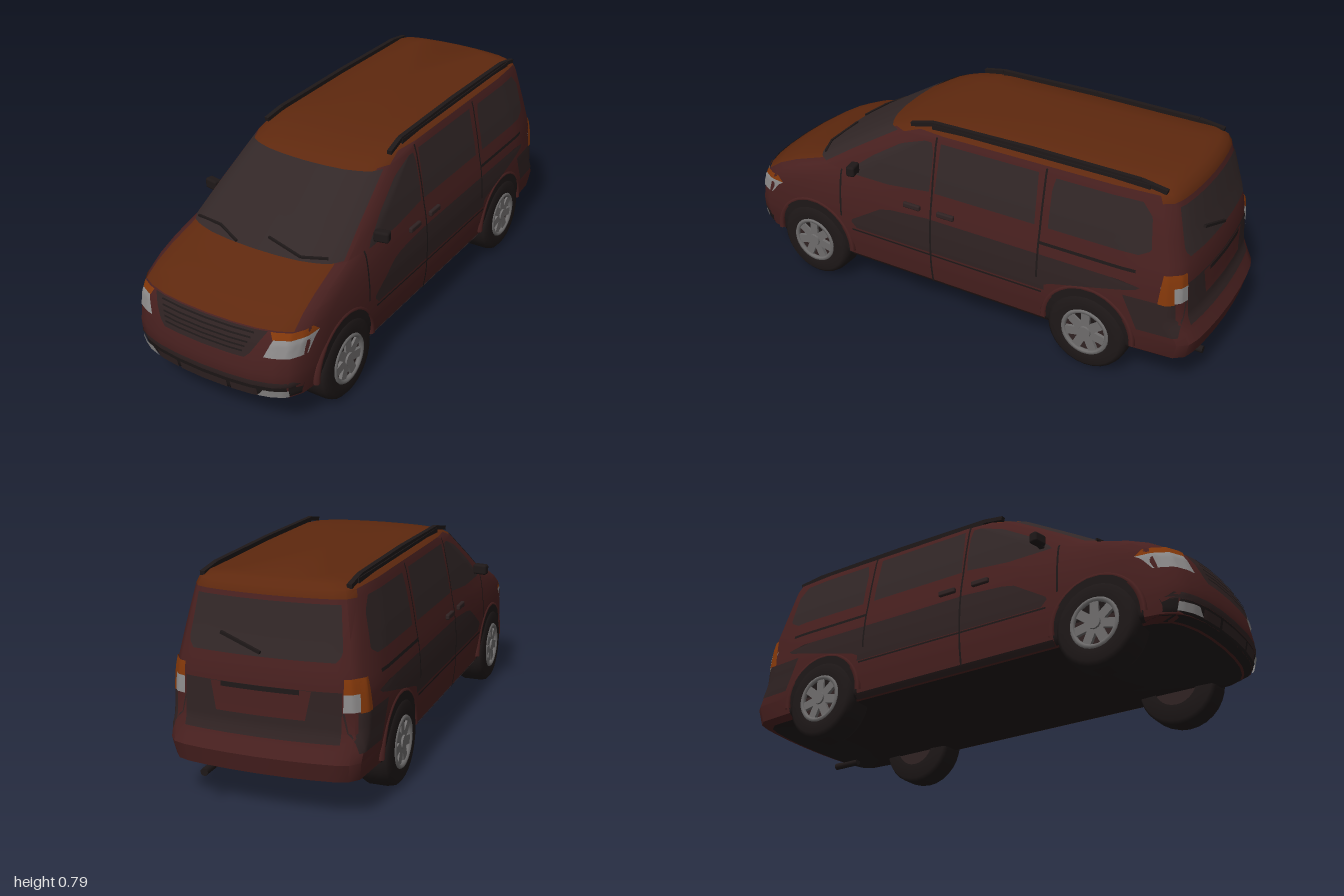
import * as THREE from 'three';
import { toCreasedNormals } from 'three/addons/utils/BufferGeometryUtils.js';
import { RoundedBoxGeometry } from 'three/addons/geometries/RoundedBoxGeometry.js';

const mat = (name, color) => {
  const m = new THREE.MeshStandardMaterial({ color, side: THREE.DoubleSide });
  m.name = name;
  return m;
};
const M = {
  maroon: mat('maroon paint', 0x48201f), rust: mat('rust paint', 0x5e280e),
  charcoal: mat('charcoal trim', 0x2f2222), glass: mat('dark glass', 0x322727),
  black: mat('black trim', 0x1e1818), lamp: mat('lamp grey', 0x8e8c8c),
  amber: mat('amber lamp', 0x84380a), metal: mat('wheel metal', 0x6e6c6c),
};

// Body layers: height, front z, rear z, half width
const L = [
  [0.125, 0.95, -0.94, 0.33], [0.145, 0.985, -0.985, 0.35], [0.21, 1.0, -1.0, 0.36],
  [0.25, 1.0, -0.98, 0.363], [0.30, 0.99, -0.957, 0.364], [0.36, 0.975, -0.952, 0.364],
  [0.40, 0.955, -0.95, 0.361], [0.44, 0.895, -0.948, 0.357], [0.475, 0.815, -0.945, 0.352],
  [0.515, 0.69, -0.938, 0.344], [0.60, 0.555, -0.915, 0.33], [0.73, 0.345, -0.885, 0.303],
  [0.755, 0.275, -0.873, 0.294], [0.772, 0.18, -0.85, 0.268], [0.782, 0.05, -0.82, 0.17],
];
// Rounded plan: share of half width against setback from each end
const T = [0, 0.3, 0.55, 0.75, 0.88, 0.96, 1];
const DF = [0, 0.004, 0.015, 0.035, 0.06, 0.11, 0.22];
const DR = [0, 0.003, 0.01, 0.02, 0.035, 0.07, 0.24];

function lerpTable(xs, ys, x) {
  if (x <= xs[0]) return ys[0];
  for (let i = 1; i < xs.length; i++) {
    if (x <= xs[i]) return ys[i - 1] + (ys[i] - ys[i - 1]) * (x - xs[i - 1]) / (xs[i] - xs[i - 1]);
  }
  return ys[ys.length - 1];
}
const layer = (y, k) => lerpTable(L.map((l) => l[0]), L.map((l) => l[k]), y);
const frontZ = (x, y) => layer(y, 1) - lerpTable(T, DF, Math.abs(x) / layer(y, 3));
const rearZ = (x, y) => layer(y, 2) + lerpTable(T, DR, Math.abs(x) / layer(y, 3));
const sideX = (z, y) => layer(y, 3) * Math.min(
  lerpTable(DF, T, layer(y, 1) - z), lerpTable(DR, T, z - layer(y, 2)));

// Surface maps for thin plates lying just off the body
const OFF = 0.005;
const onFront = (o = OFF) => ({ f: (x, y) => [x, y, frontZ(x, y) + o], flip: false });
const onRear = (o = OFF) => ({ f: (x, y) => [x, y, rearZ(x, y) - o], flip: true });
const onSide = (s, o = OFF) => ({ f: (z, y) => [s * (sideX(z, y) + o), y, z], flip: s > 0 });

// Plate from rows [y, start, end], following a surface map
function plate(rows, map, nu = 12, nv = 10) {
  const ys = rows.map((r) => r[0]), pos = [], idx = [];
  for (let j = 0; j <= nv; j++) {
    const y = ys[0] + (ys[ys.length - 1] - ys[0]) * j / nv;
    const a = lerpTable(ys, rows.map((r) => r[1]), y), b = lerpTable(ys, rows.map((r) => r[2]), y);
    for (let i = 0; i <= nu; i++) pos.push(...map.f(a + (b - a) * i / nu, y));
  }
  for (let j = 0; j < nv; j++) for (let i = 0; i < nu; i++) {
    const a = j * (nu + 1) + i, b = a + 1, c = b + nu + 1, d = a + nu + 1;
    idx.push(...(map.flip ? [a, c, b, a, d, c] : [a, b, c, a, c, d]));
  }
  const g = new THREE.BufferGeometry();
  g.setAttribute('position', new THREE.Float32BufferAttribute(pos, 3));
  g.setIndex(idx);
  g.computeVertexNormals();
  return g;
}

// Box bar between two points
function bar(p, q, w, h) {
  const a = new THREE.Vector3(...p), b = new THREE.Vector3(...q);
  const g = new THREE.BoxGeometry(w, h, a.distanceTo(b));
  const o = new THREE.Object3D();
  o.position.copy(a).lerp(b, 0.5);
  o.lookAt(b);
  o.updateMatrix();
  return g.applyMatrix4(o.matrix);
}

// Closed body shell, lofted upward through the layers
function bodyShell() {
  const half = (l) => {
    const f = T.map((t, i) => [t * l[3], l[1] - DF[i]]), r = T.map((t, i) => [t * l[3], l[2] + DR[i]]);
    const mid = [0.25, 0.5, 0.75].map((k) => [l[3], (l[1] - 0.22) * (1 - k) + (l[2] + 0.24) * k]);
    return [...f, ...mid, ...r.reverse()];
  };
  const pos = [], sets = [[], [], []];
  let n = 0;
  for (const l of L) {
    const h = half(l), ring = [...h, ...h.slice(1, -1).reverse().map(([x, z]) => [-x, z])];
    n = ring.length;
    ring.forEach(([x, z]) => pos.push(x, l[0], z));
  }
  const last = (L.length - 1) * n, c0 = L.length * n;
  pos.push(0, 0.125, 0, 0, 0.787, -0.35);
  for (let i = 0; i < n; i++) {
    const k = (i + 1) % n, e = Math.min(i, n - 1 - i);
    for (let j = 0; j < L.length - 1; j++) {
      const y = L[j][0], rust = y > 0.75 || (y > 0.72 && (e < 5 || e > 10)) || (y > 0.39 && e < 4);
      const a = j * n + i, b = j * n + k;
      sets[rust ? 1 : 0].push(a, b, b + n, a, b + n, a + n);
    }
    sets[1].push(c0 + 1, last + i, last + k);
    sets[2].push(c0, k, i);
  }
  const g = new THREE.BufferGeometry();
  g.setAttribute('position', new THREE.Float32BufferAttribute(pos, 3));
  g.setIndex(sets.flat());
  let start = 0;
  sets.forEach((s, i) => { g.addGroup(start, s.length, i); start += s.length; });
  return toCreasedNormals(g, 0.6);
}

function wheel(add) {
  const prof = [[0.09, 0.06], [0.1, 0.066], [0.14, 0.064], [0.155, 0.052], [0.16, 0.03],
    [0.16, -0.035], [0.15, -0.055], [0.09, -0.06]];
  const lathe = new THREE.LatheGeometry(prof.reverse().map((p) => new THREE.Vector2(...p)), 28);
  add('tyre', lathe.rotateZ(-Math.PI / 2), M.black);
  add('wheelDish', new THREE.CylinderGeometry(0.095, 0.095, 0.1, 24).rotateZ(Math.PI / 2), M.charcoal);
  add('rimRing', new THREE.TorusGeometry(0.088, 0.01, 6, 28).rotateY(Math.PI / 2).translate(0.06, 0, 0), M.metal);
  add('hub', new THREE.CylinderGeometry(0.024, 0.028, 0.03, 14).rotateZ(-Math.PI / 2).translate(0.055, 0, 0), M.metal);
  for (let i = 0; i < 7; i++) {
    add('spoke', new THREE.BoxGeometry(0.016, 0.075, 0.034).translate(0.055, 0.05, 0).rotateX(i * Math.PI * 2 / 7), M.metal);
  }
}

export function createModel() {
  const root = new THREE.Group();
  root.name = 'van';
  const adder = (group) => (name, geo, material) => {
    const m = new THREE.Mesh(geo, material);
    m.name = name;
    group.add(m);
    return m;
  };
  const add = adder(root);
  add('bodyShell', bodyShell(), [M.maroon, M.rust, M.black]);

  // Windscreen and wipers
  add('windscreen', plate([[0.52, -0.322, 0.322], [0.725, -0.283, 0.283]], onFront(0.008), 24, 16), M.glass);
  const fp = (x, y) => [x, y, frontZ(x, y) + 0.014];
  [[-0.29, 0.533, -0.17, 0.543], [-0.17, 0.543, -0.07, 0.525], [0.04, 0.553, 0.19, 0.53], [0.19, 0.53, 0.28, 0.533]]
    .forEach(([a, b, c, d]) => add('wiper', bar(fp(a, b), fp(c, d), 0.008, 0.008), M.black));

  // Grille and lower bumper
  add('grille', plate([[0.298, -0.17, 0.17], [0.315, -0.19, 0.19], [0.398, -0.24, 0.24]], onFront(), 20), M.charcoal);
  for (let i = 0; i < 5; i++) {
    const y = 0.318 + i * 0.017, w = 0.165 + i * 0.008;
    add('grilleSlat', plate([[y, -w, w], [y + 0.006, -w, w]], onFront(0.009), 20, 1), M.black);
  }
  add('bumperBand', plate([[0.195, -0.345, 0.345], [0.217, -0.33, 0.33]], onFront(), 28, 2), M.charcoal);
  add('lowerIntake', plate([[0.128, -0.33, 0.33], [0.195, -0.345, 0.345]], onFront(0.004), 28, 5), M.black);
  for (const x of [-0.165, 0, 0.165]) {
    const w = x ? 0.05 : 0.1;
    add('intakeOpening', plate([[0.15, x - w, x + w], [0.183, x - w, x + w]], onFront(0.009), 8, 2), M.charcoal);
  }

  // Rear glass, wiper, number plate recess and bumper
  add('rearWindow', plate([[0.535, -0.255, 0.255], [0.56, -0.275, 0.275], [0.715, -0.255, 0.255]], onRear(0.007), 20), M.glass);
  add('rearWiper', bar([0, 0.55, rearZ(0, 0.55) - 0.014], [0.15, 0.6, rearZ(0.15, 0.6) - 0.014], 0.01, 0.01), M.black);
  add('tailgateBand', plate([[0.27, -0.28, 0.28], [0.44, -0.28, 0.28]], onRear(0.004), 20), M.charcoal);
  add('plateRecess', plate([[0.34, -0.16, 0.16], [0.44, -0.18, 0.18]], onRear(0.008), 12), M.maroon);
  add('tailgateHandle', plate([[0.425, -0.14, 0.14], [0.442, -0.14, 0.14]], onRear(0.011), 10, 2), M.black);
  add('exhaust', new THREE.CylinderGeometry(0.014, 0.014, 0.12, 12).rotateX(Math.PI / 2).translate(0.2, 0.118, -0.92), M.black);

  for (const s of [1, -1]) {
    const span = (y, a, b) => (s > 0 ? [y, a, b] : [y, -b, -a]);
    const side = (name, rows, m, o, nu, nv) => add(name, plate(rows, onSide(s, o), nu, nv), m);

    // Front lamps
    add('headlamp', plate([span(0.313, 0.24, 0.352), span(0.375, 0.265, 0.357)], onFront(0.007), 12), M.lamp);
    add('frontIndicator', plate([span(0.375, 0.262, 0.357), span(0.399, 0.25, 0.35)], onFront(0.007), 12, 4), M.amber);
    add('fogLamp', plate([span(0.152, 0.215, 0.315), span(0.183, 0.24, 0.318)], onFront(0.011), 8, 3), M.lamp);

    // Rear lamps wrap around the corner
    add('rearLampTop', plate([span(0.435, 0.285, 0.346), span(0.485, 0.285, 0.336)], onRear(0.007), 8, 4), M.amber);
    add('rearLamp', plate([span(0.375, 0.285, 0.349), span(0.435, 0.285, 0.346)], onRear(0.007), 8, 4), M.lamp);
    side('rearLampSide', [[0.37, -0.905, -0.85], [0.485, -0.895, -0.86]], M.amber, 0.006, 6, 6);

    // Side windows
    side('frontDoorWindow', [[0.515, 0.28, 0.47], [0.535, 0.095, 0.455], [0.61, 0.09, 0.36], [0.69, 0.09, 0.235], [0.727, 0.1, 0.13]], M.glass, 0.005, 14, 20);
    side('slidingDoorWindow', [[0.535, -0.355, 0.07], [0.73, -0.35, 0.06]], M.glass);
    side('rearSideWindow', [[0.535, -0.76, -0.41], [0.56, -0.805, -0.41], [0.68, -0.79, -0.41], [0.725, -0.75, -0.42]], M.glass, 0.005, 14, 18);

    // Charcoal side band, seams, slide rail and handles
    side('sideBand', [[0.28, -0.41, 0.43], [0.31, -0.41, 0.46], [0.41, -0.8, 0.3], [0.425, -0.7, 0.1]].map((r) => r), M.charcoal, 0.003, 16, 12);
    side('rearQuarterBand', [[0.24, -0.93, -0.78], [0.37, -0.93, -0.72]], M.charcoal, 0.0035, 8, 8);
    side('sill', [[0.128, -0.42, 0.47], [0.148, -0.42, 0.47]], M.charcoal, 0.005, 8, 2);
    for (const [z, y0, y1] of [[0.5, 0.32, 0.52], [0.08, 0.145, 0.75], [-0.38, 0.33, 0.75]]) {
      side('doorSeam', [[y0, z - 0.004, z + 0.004], [y1, z - 0.004, z + 0.004]], M.black, 0.007, 1, 18);
    }
    side('lowerSeam', [[0.268, -0.4, 0.45], [0.275, -0.4, 0.45]], M.black, 0.006, 10, 1);
    side('slideRail', [[0.468, -0.76, -0.38], [0.48, -0.76, -0.38]], M.black, 0.007, 8, 1);
    for (const z of [0.165, 0.015]) {
      add('doorHandle', new RoundedBoxGeometry(0.016, 0.022, 0.075, 2, 0.006).translate(s * 0.362, 0.46, z), M.charcoal);
    }

    // Mirror on a short arm
    add('mirrorArm', bar([s * 0.32, 0.525, 0.43], [s * 0.365, 0.542, 0.425], 0.02, 0.016), M.black);
    add('mirror', new RoundedBoxGeometry(0.058, 0.042, 0.035, 3, 0.009).rotateY(s * 0.2).translate(s * 0.374, 0.553, 0.425), M.black);

    // Roof rail
    const rail = [[0.272, 0.762, 0.21], [0.264, 0.78, 0.12], [0.262, 0.785, -0.3], [0.262, 0.78, -0.72], [0.264, 0.765, -0.82]];
    for (let i = 1; i < rail.length; i++) {
      const [p, q] = [rail[i - 1], rail[i]].map(([x, y, z]) => [s * x, y, z]);
      add('roofRail', bar(p, q, 0.018, 0.016), M.black);
    }
    add('railBase', bar([s * 0.268, 0.768, 0.12], [s * 0.268, 0.768, -0.76], 0.014, 0.024), M.black);

    // Wheels and arches
    for (const z of [0.645, -0.585]) {
      const rows = [0.13, 0.165, 0.21, 0.25, 0.28, 0.305, 0.325, 0.338].map((y) => {
        const w = Math.sqrt(0.175 ** 2 - (y - 0.165) ** 2);
        return [y, z - w, z + w];
      });
      side('wheelWell', rows, M.black, 0.004, 10, 16);
      const arch = new THREE.TorusGeometry(0.18, 0.013, 6, 24, Math.PI).rotateY(Math.PI / 2);
      add('archLip', arch.translate(s * 0.356, 0.16, z), M.maroon);
      const w = new THREE.Group();
      w.name = 'wheel';
      wheel(adder(w));
      w.position.set(s * 0.31, 0.16, z);
      if (s < 0) w.rotation.y = Math.PI;
      root.add(w);
    }
  }
  return root;
}
